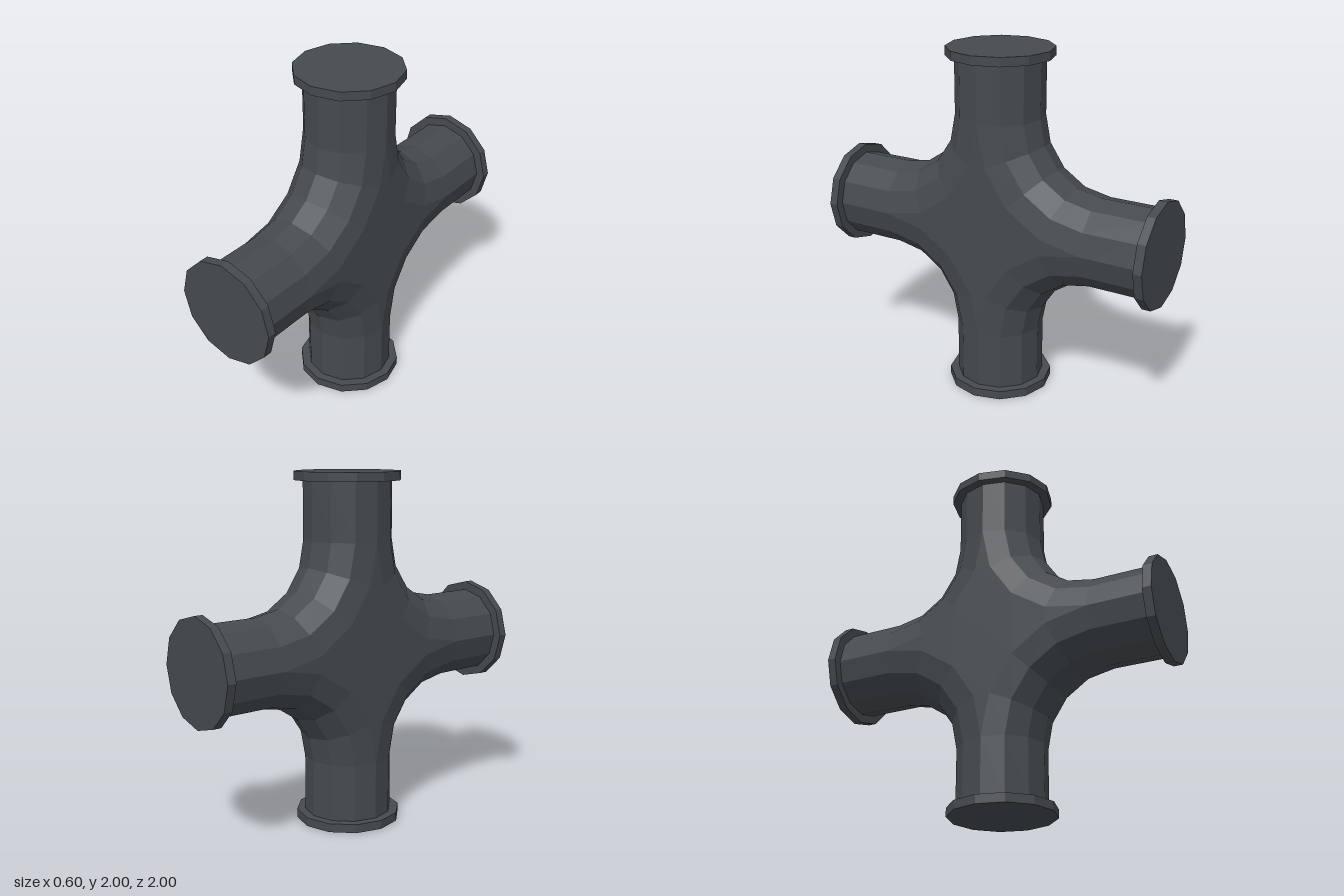
import * as THREE from 'three';

const SIDES = 12, TUBE = 0.25, BEND = 0.625, REACH = 0.95, ARC_STEPS = 4;

// Centreline of one elbow: position (y, z) and direction (ny, nz) towards the bend centre
function elbowStations() {
  const list = [{ y: REACH, z: 0, ny: 0, nz: 1 }];
  for (let i = 0; i <= ARC_STEPS; i++) {
    const t = (i / ARC_STEPS) * Math.PI / 2, s = Math.sin(t), c = Math.cos(t);
    list.push({ y: BEND * (1 - s), z: BEND * (1 - c), ny: s, nz: c });
  }
  list.push({ y: 0, z: REACH, ny: 1, nz: 0 });
  return list;
}

// Inner half of a bent pipe, swept along the stations
function elbowGeometry() {
  const half = SIDES / 2, positions = [], index = [];
  const stations = elbowStations();
  stations.forEach((p, s) => {
    for (let i = 0; i <= half; i++) {
      const a = (i / half - 0.5) * Math.PI;
      const r = TUBE * Math.cos(a);
      positions.push(TUBE * Math.sin(a), p.y + r * p.ny, p.z + r * p.nz);
      if (s < stations.length - 1 && i < half) {
        const k = s * (half + 1) + i, n = k + half + 1;
        index.push(k, n, n + 1, k, n + 1, k + 1);
      }
    }
  });
  const g = new THREE.BufferGeometry();
  g.setAttribute('position', new THREE.Float32BufferAttribute(positions, 3));
  g.setIndex(index);
  g.computeVertexNormals();
  return g;
}

// Flat four-pointed web that closes the middle between the elbows
function webGeometry() {
  const points = [];
  const arc = elbowStations().slice(1, -2);
  for (let q = 0; q < 4; q++) {
    for (const p of arc) {
      points.push(new THREE.Vector2(p.y, p.z).rotateAround(new THREE.Vector2(), q * Math.PI / 2));
    }
  }
  return new THREE.ShapeGeometry(new THREE.Shape(points));
}

export function createModel() {
  const steel = new THREE.MeshStandardMaterial({ color: 0x454a4e });
  steel.name = 'darkSteel';
  steel.flatShading = true;

  const group = new THREE.Group();
  group.name = 'pipeCross';
  const add = (name, geometry) => {
    const mesh = new THREE.Mesh(geometry, steel);
    mesh.name = name;
    mesh.position.y = 1;
    group.add(mesh);
    return mesh;
  };

  // Four elbows and four end flanges around the x axis
  const elbow = elbowGeometry();
  const flange = new THREE.CylinderGeometry(0.3, 0.3, 0.05, SIDES).translate(0, 0.975, 0);
  const ends = ['top', 'front', 'bottom', 'back'];
  ends.forEach((end, q) => {
    add(end + 'Elbow', elbow).rotation.x = q * Math.PI / 2;
    add(end + 'Flange', flange).rotation.x = q * Math.PI / 2;
  });

  // Side webs
  const web = webGeometry();
  for (const side of [1, -1]) {
    const mesh = add(side > 0 ? 'leftWeb' : 'rightWeb', web);
    mesh.rotation.y = side * Math.PI / 2;
    mesh.position.x = side * TUBE;
  }
  return group;
}
